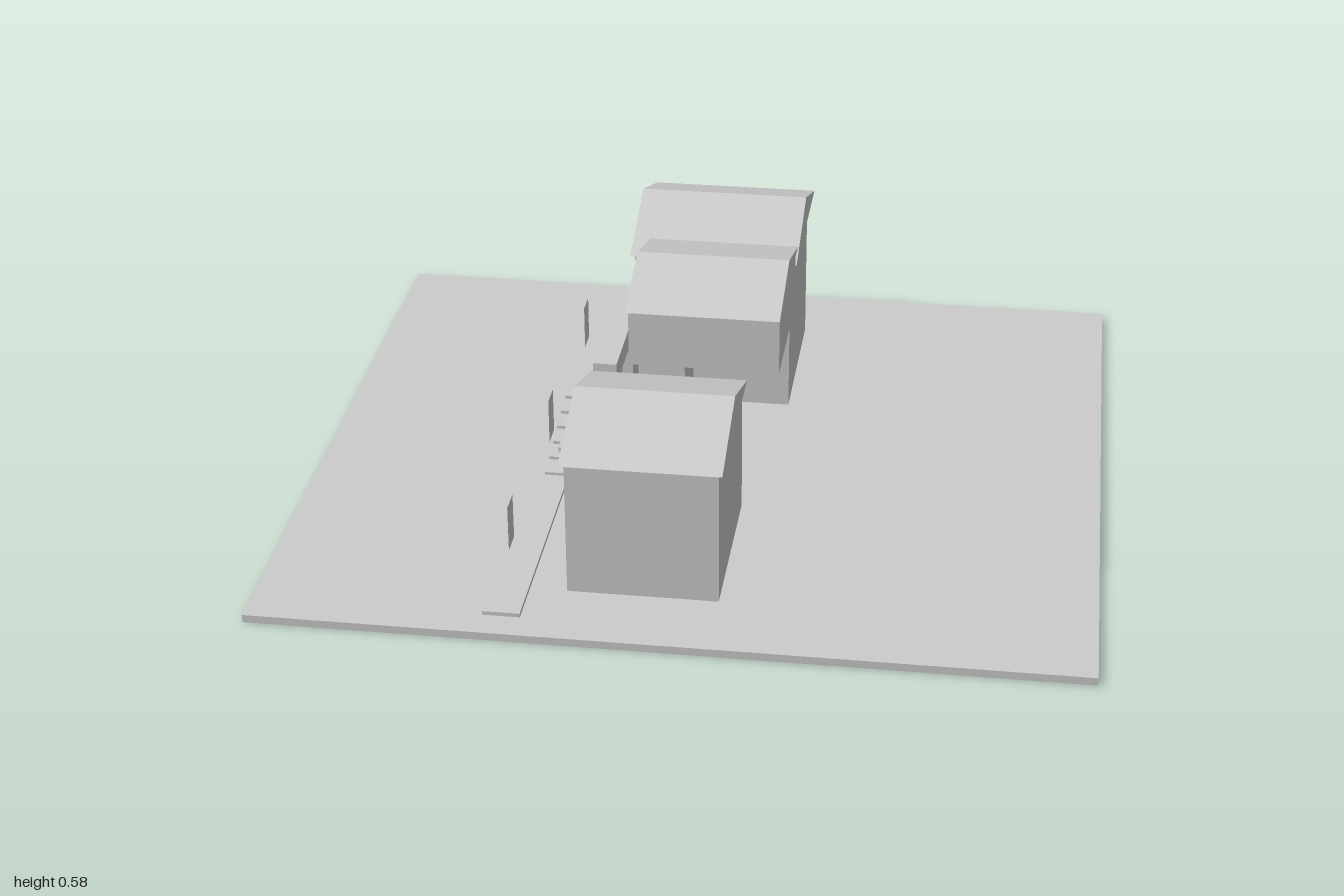
import * as THREE from 'three';

export function createModel() {
  const model = new THREE.Group();
  const plaster = new THREE.MeshStandardMaterial({ color: 0xcccccc });
  plaster.name = 'plain grey';
  const sheet = plaster.clone();
  sheet.side = THREE.DoubleSide;

  // box given by its limits on each axis
  function box(name, [x0, x1], [y0, y1], [z0, z1], parent = model) {
    const mesh = new THREE.Mesh(new THREE.BoxGeometry(x1 - x0, y1 - y0, z1 - z0), plaster);
    mesh.position.set((x0 + x1) / 2, (y0 + y1) / 2, (z0 + z1) / 2);
    mesh.name = name;
    parent.add(mesh);
    return mesh;
  }

  // shape drawn in (z, y), extruded along x from x0 to x1
  function extrudeAlongX(name, shape, x0, x1, parent = model) {
    const geo = new THREE.ExtrudeGeometry(shape, { depth: x1 - x0, bevelEnabled: false });
    geo.rotateY(-Math.PI / 2); // shape x becomes z, depth runs towards -x
    geo.translate(x1, 0, 0);
    const mesh = new THREE.Mesh(geo, plaster);
    mesh.name = name;
    parent.add(mesh);
  }

  // walls with a closed gable roof whose ridge runs along x
  function house(name, wallX, wallY, wallZ, roofX, roofZ, ridge) {
    const group = new THREE.Group();
    group.name = name;
    box('walls', wallX, wallY, wallZ, group);
    const gable = new THREE.Shape([
      new THREE.Vector2(roofZ[0], wallY[1]),
      new THREE.Vector2(roofZ[1], wallY[1]),
      new THREE.Vector2((roofZ[0] + roofZ[1]) / 2, ridge),
    ]);
    extrudeAlongX('roof', gable, roofX[0], roofX[1], group);
    model.add(group);
  }

  box('ground', [-1, 1], [0, 0.02], [-0.92, 0.92]);
  box('path', [-0.44, -0.35], [0.02, 0.03], [-0.85, 0.845]);

  house('frontHouse', [-0.26, 0.105], [0.02, 0.37], [0.27, 0.717], [-0.272, 0.115], [0.255, 0.732], 0.455);
  house('backHouse', [-0.245, 0.166], [0.02, 0.44], [-0.713, -0.267], [-0.257, 0.183], [-0.737, -0.258], 0.528);
  house('raisedHouse', [-0.19, 0.187], [0.36, 0.515], [-0.19, 0.19], [-0.195, 0.19], [-0.217, 0.215], 0.58);

  // gateway with a doorway through it
  const gate = new THREE.Shape([
    [-0.17, 0.02], [-0.08, 0.02], [-0.08, 0.29], [0.08, 0.29],
    [0.08, 0.02], [0.17, 0.02], [0.17, 0.345], [-0.17, 0.345],
  ].map(([z, y]) => new THREE.Vector2(z, y)));
  extrudeAlongX('gateway', gate, -0.285, -0.225);

  // slab standing under the raised house
  box('innerDoor', [-0.09, -0.065], [0.03, 0.355], [-0.08, 0.08]);

  // open steps descending towards the front, with a bar above them
  const steps = new THREE.Group();
  steps.name = 'steps';
  for (let i = 0; i < 6; i++) {
    const top = 0.102 - i * 0.013;
    const z = -0.15 + i * 0.058;
    box('tread', [-0.41, -0.335], [top - 0.008, top], [z, z + 0.06], steps);
  }
  box('handrail', [-0.374, -0.366], [0.1, 0.112], [-0.17, 0.2], steps);
  model.add(steps);

  // upright sheets along the outer edge of the path
  for (const z of [-0.54, 0, 0.54]) {
    const sign = new THREE.Mesh(new THREE.PlaneGeometry(0.065, 0.12), sheet);
    sign.rotation.y = Math.PI / 2;
    sign.position.set(-0.43, 0.09, z);
    sign.name = 'pathPanel';
    model.add(sign);
  }
  return model;
}
